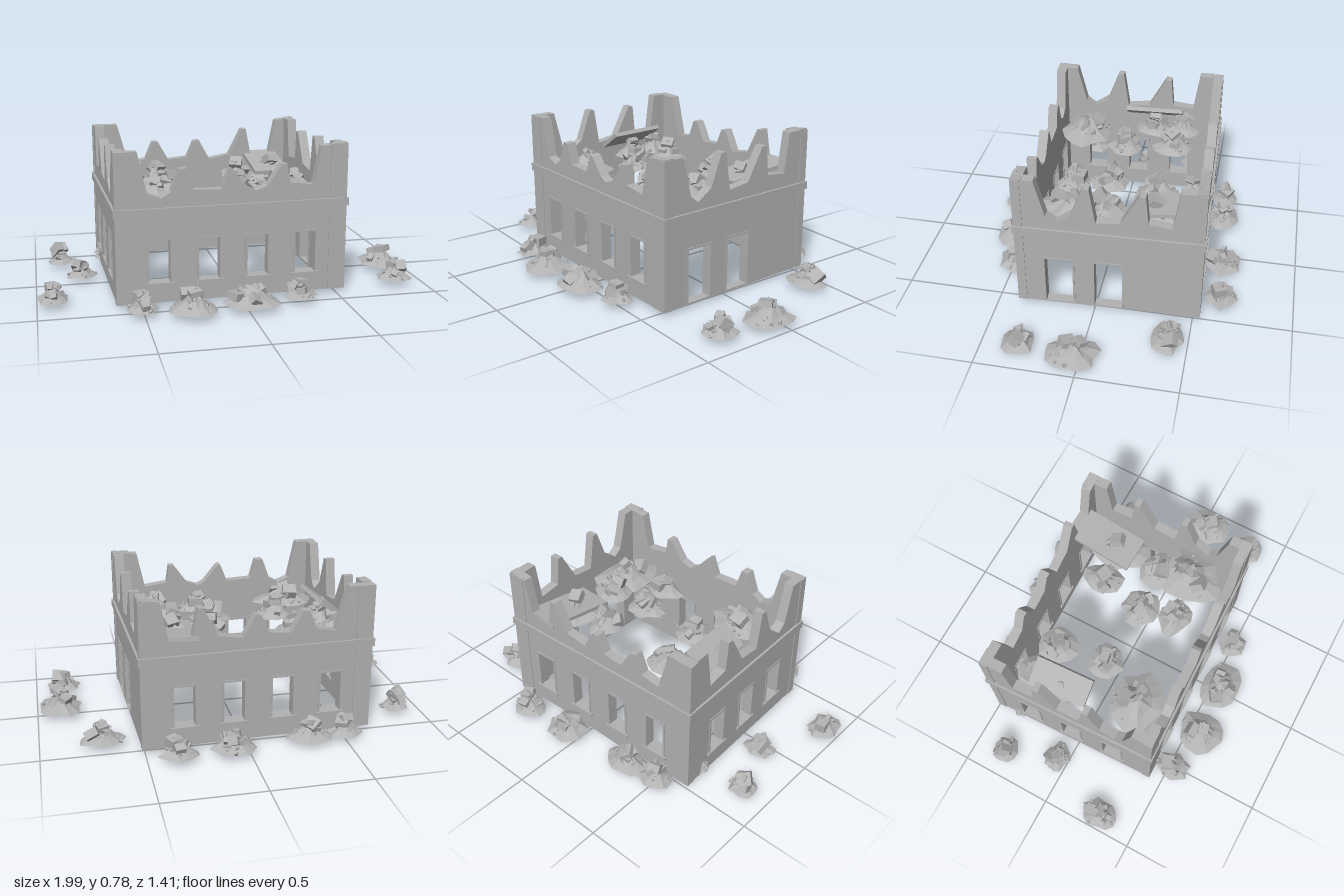
import * as THREE from 'three';

const concrete = new THREE.MeshStandardMaterial({ color: 0xb2b2b2 });
concrete.name = 'concrete grey';
concrete.flatShading = true;

const HX = 0.58, HZ = 0.4625, T = 0.05, BASE = 0.02;

let seed = 7;
const rand = (a = 0, b = 1) => {
  seed = (seed * 16807) % 2147483647;
  return a + (b - a) * (seed / 2147483647);
};

function add(parent, name, geometry, x = 0, y = 0, z = 0) {
  const mesh = new THREE.Mesh(geometry, concrete);
  mesh.name = name;
  mesh.position.set(x, y, z);
  parent.add(mesh);
  return mesh;
}
const box = (parent, name, w, h, d, x, y, z) =>
  add(parent, name, new THREE.BoxGeometry(w, h, d), x, y, z);

const rectPath = (u, y0, y1, w) => new THREE.Path([
  new THREE.Vector2(u - w / 2, y0), new THREE.Vector2(u - w / 2, y1),
  new THREE.Vector2(u + w / 2, y1), new THREE.Vector2(u + w / 2, y0)]);

// One wall with a broken top edge, openings, frames and cornice; faces +z before turning
function wall(name, half, dist, turn, top, openings) {
  const g = new THREE.Group();
  g.name = name;
  const a = half, pts = [[-a, BASE], [a, BASE], ...top.slice().reverse()];
  const shape = new THREE.Shape(pts.map(p => new THREE.Vector2(p[0], p[1])));
  openings.forEach(o => shape.holes.push(rectPath(o.u, o.y0, o.y1, o.w)));
  add(g, name + 'Panel', new THREE.ExtrudeGeometry(shape, { depth: T, bevelEnabled: false }), 0, 0, dist - T);
  // Frames line each opening
  for (const o of openings) {
    const f = 0.01, h = o.y1 - o.y0, zc = dist - T / 2, d = T + 0.008, yc = (o.y0 + o.y1) / 2;
    for (const s of [-1, 1]) box(g, 'jamb', f, h, d, o.u + s * (o.w / 2 - f / 2), yc, zc);
    box(g, 'lintel', o.w, f, d, o.u, o.y1 - f / 2, zc);
    if (o.y0 > 0.1) box(g, 'windowSill', o.w + 0.02, 0.014, T + 0.022, o.u, o.y0, zc);
  }
  g.rotation.y = turn;
  return g;
}

// Irregular heap with a concave slope and a closed underside
function heapGeometry(rx, rz, h) {
  const n = 13, rings = [[1, 0], [0.6, 0.3], [0.28, 0.72]], pos = [], idx = [];
  const edge = Array.from({ length: n }, () => rand(0.78, 1.08));
  for (const [r, y] of rings) for (let i = 0; i < n; i++) {
    const t = i / n * Math.PI * 2, k = r * edge[i];
    pos.push(Math.cos(t) * rx * k, y * h * (y ? rand(0.85, 1.15) : 1), Math.sin(t) * rz * k);
  }
  pos.push(0, h, 0, 0, 0, 0);
  const apex = n * rings.length;
  for (let i = 0; i < n; i++) {
    const j = (i + 1) % n;
    for (let k = 0; k < rings.length - 1; k++) {
      const p = k * n, q = p + n;
      idx.push(p + i, q + i, p + j, p + j, q + i, q + j);
    }
    idx.push(apex - n + i, apex, apex - n + j, apex + 1, i, j);
  }
  const geo = new THREE.BufferGeometry();
  geo.setAttribute('position', new THREE.Float32BufferAttribute(pos, 3));
  geo.setIndex(idx);
  geo.computeVertexNormals();
  return geo;
}

// Heap with broken blocks and crumbs scattered over it
function rubble(parent, x, z, rx, rz, y) {
  const g = new THREE.Group();
  g.name = 'rubblePile';
  g.position.set(x, y, z);
  parent.add(g);
  const h = 0.055 + 0.25 * Math.min(rx, rz);
  add(g, 'rubbleHeap', heapGeometry(rx, rz, h));
  for (let i = 0; i < 17; i++) {
    const big = i < 7, t = rand(0, Math.PI * 2), r = big ? rand(0, 0.55) : rand(0.2, 0.85);
    const s = i === 0 ? 0.065 : big ? rand(0.028, 0.055) : rand(0.008, 0.018);
    const b = box(g, big ? 'brokenBlock' : 'crumb', s, s * rand(0.35, 0.9), s * rand(0.6, 1.2),
      Math.cos(t) * rx * r, h * (1 - r) ** 1.4 + s * 0.15, Math.sin(t) * rz * r);
    b.rotation.set(rand(-0.7, 0.7), rand(0, 3), rand(-0.7, 0.7));
  }
}

export function createModel() {
  const model = new THREE.Group();
  model.name = 'ruinedBuilding';
  const house = new THREE.Group();
  house.name = 'building';
  house.position.set(-0.054, 0, -0.052);
  house.rotation.y = 0.033;
  model.add(house);

  const windows = list => list.map(u => ({ u, y0: 0.115, y1: 0.342, w: 0.125 }));
  const doors = [-0.25, 0].map(u => ({ u, y0: 0.028, y1: 0.315, w: 0.16 }));
  const four = windows([-0.37, -0.123, 0.123, 0.37]);

  // Broken top edges, as [along, height]
  const frontTop = [[-HX, 0.77], [-0.47, 0.77], [-0.425, 0.565], [-0.36, 0.54], [-0.31, 0.57], [-0.27, 0.68],
    [-0.23, 0.68], [-0.2, 0.575], [-0.06, 0.57], [-0.02, 0.67], [0, 0.66], [0.07, 0.575], [0.11, 0.555],
    [0.17, 0.575], [0.245, 0.68], [0.27, 0.68], [0.285, 0.585], [0.41, 0.57], [0.45, 0.76], [HX, 0.775]];
  const backTop = [[-HX, 0.78], [-0.48, 0.765], [-0.44, 0.57], [-0.33, 0.56], [-0.3, 0.72], [-0.275, 0.72],
    [-0.2, 0.575], [-0.08, 0.555], [-0.02, 0.665], [0.01, 0.66], [0.05, 0.57], [0.16, 0.56],
    [0.22, 0.665], [0.25, 0.665], [0.29, 0.57], [0.39, 0.55], [0.45, 0.77], [HX, 0.77]];
  const S = HZ - T;
  const sideTop = [[-S, 0.77], [-0.355, 0.77], [-0.305, 0.57], [-0.26, 0.535], [-0.18, 0.59], [-0.12, 0.75],
    [-0.09, 0.75], [-0.06, 0.555], [0.06, 0.57], [0.15, 0.735], [0.18, 0.735], [0.195, 0.58],
    [0.31, 0.565], [0.34, 0.775], [S, 0.775]];
  const mirrored = sideTop.map(([u, y]) => [-u, y]).reverse();

  house.add(
    wall('frontWall', HX, HZ, 0, frontTop, four),
    wall('backWall', HX, HZ, Math.PI, backTop, four),
    wall('leftWall', S, HX, Math.PI / 2, sideTop, doors),
    wall('rightWall', S, HX, -Math.PI / 2, mirrored, windows([-0.24, 0, 0.24])));

  // Cornice band and corner pilasters
  for (const s of [-1, 1]) {
    box(house, 'cornice', 2 * HX + 0.024, 0.04, 0.022, 0, 0.475, s * (HZ + 0.001));
    box(house, 'cornice', 0.022, 0.04, 2 * HZ - 0.02, s * (HX + 0.001), 0.475, 0);
    for (const t of [-1, 1]) {
      box(house, 'cornerPilaster', 0.09, 0.75, 0.02, s * (HX - 0.041), 0.395, t * (HZ - 0.006));
      box(house, 'cornerPilaster', 0.02, 0.75, 0.045, s * (HX - 0.006), 0.395, t * (HZ - 0.0185));
    }
  }

  // Fallen slabs resting on the broken walls
  box(model, 'fallenSlab', 0.19, 0.02, 0.38, 0.31, 0.55, -0.34).rotation.set(0.13, -0.03, 0.02);
  box(model, 'leaningSlab', 0.15, 0.022, 0.31, -0.5, 0.585, -0.14).rotation.set(0, 0.05, 0.62);

  // Rubble on the upper level, as [x, z, radius x, radius z]
  const upper = [[-0.5, -0.3, 0.09, 0.1], [-0.32, -0.27, 0.11, 0.11], [-0.49, -0.14, 0.1, 0.1],
    [-0.28, -0.01, 0.11, 0.1], [-0.4, 0.22, 0.18, 0.15], [0.12, -0.25, 0.1, 0.12], [0.07, 0, 0.11, 0.11],
    [0.11, 0.19, 0.12, 0.09], [0.32, -0.27, 0.13, 0.17], [0.3, -0.01, 0.12, 0.1], [0.35, 0.13, 0.14, 0.23]];
  upper.forEach(p => rubble(model, ...p, 0.48));

  // Rubble on the ground around the walls
  const ground = [[-0.5, -0.57, 0.09, 0.08], [-0.31, -0.58, 0.12, 0.09], [0.07, -0.61, 0.12, 0.11],
    [0.35, -0.63, 0.1, 0.09], [0.69, -0.4, 0.13, 0.08], [0.88, 0.04, 0.12, 0.14], [0.85, 0.31, 0.1, 0.09],
    [0.28, 0.49, 0.09, 0.08], [0.02, 0.54, 0.16, 0.12], [-0.27, 0.57, 0.12, 0.14], [-0.51, 0.52, 0.08, 0.1],
    [-0.92, 0.29, 0.08, 0.1], [-0.76, -0.06, 0.09, 0.07], [-0.86, -0.33, 0.08, 0.07], [-0.61, -0.37, 0.06, 0.05]];
  ground.forEach(p => rubble(model, ...p, 0.028));
  box(model, 'sunkenBlock', 0.06, 0.03, 0.05, -0.27, 0.015, 0.5);

  // Bent reinforcing rods
  for (const [x, z] of [[0.69, -0.4], [-0.27, 0.57]]) {
    const bend = new THREE.CurvePath();
    const p = [[0, 0.05], [0, 0.13], [0.045, 0.13], [0.045, 0.11]].map(([u, y]) => new THREE.Vector3(x + u, y, z - u * 0.3));
    for (let i = 0; i < 3; i++) bend.add(new THREE.LineCurve3(p[i], p[i + 1]));
    add(model, 'bentRod', new THREE.TubeGeometry(bend, 12, 0.003, 5));
  }
  return model;
}
